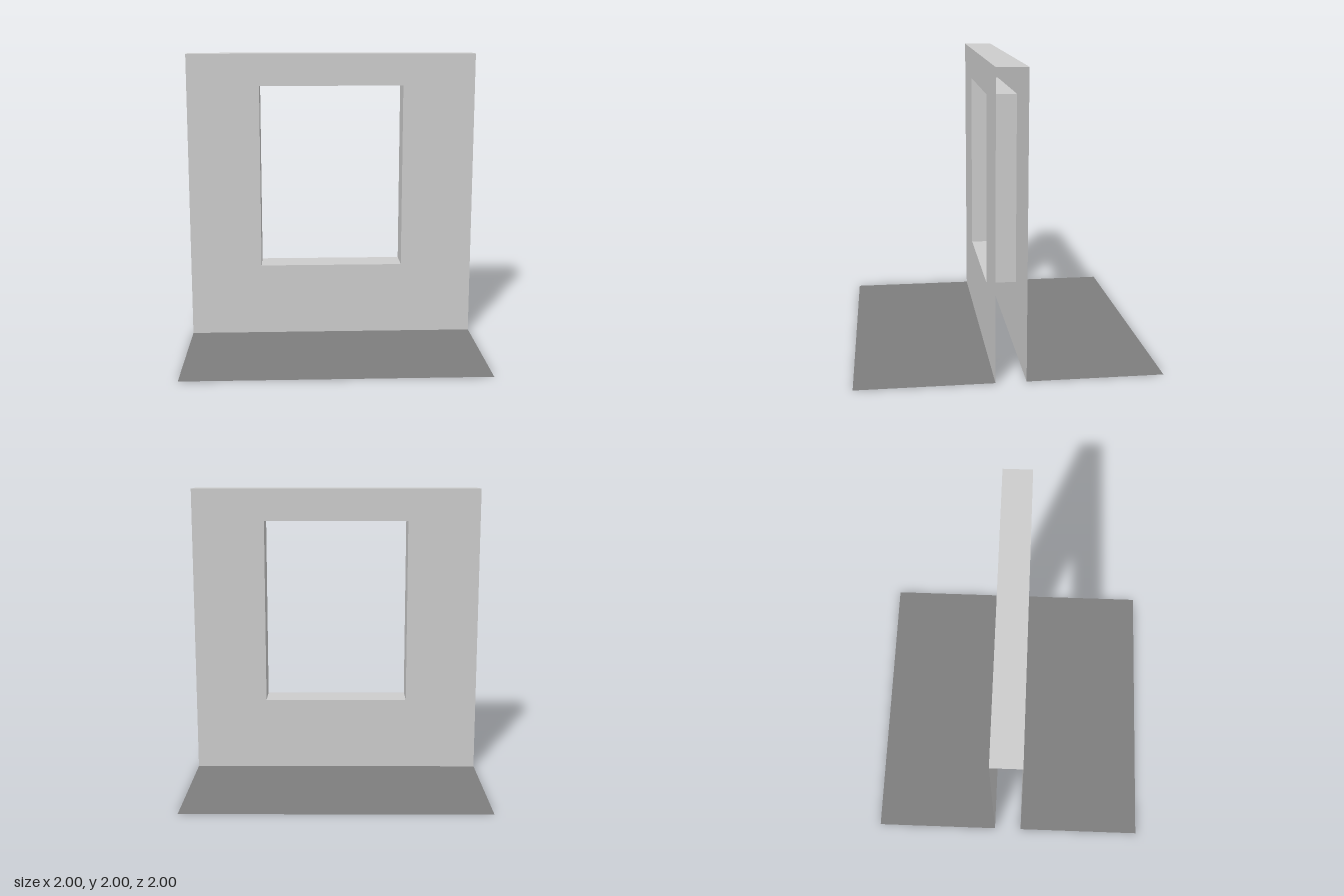
import * as THREE from 'three';

const W = 2, H = 2, T = 0.2;                 // wall width, height, thickness
const WIN = { w: 1, y0: 0.5, y1: 1.78 };     // window opening

export function createModel() {
  const model = new THREE.Group();
  model.name = 'wallWithWindow';

  const wallGrey = new THREE.MeshStandardMaterial({ color: 0xcccccc, side: THREE.DoubleSide });
  wallGrey.name = 'wallGrey';
  const floorGrey = new THREE.MeshStandardMaterial({ color: 0x7d7d7d, side: THREE.DoubleSide });
  floorGrey.name = 'floorGrey';

  const add = (name, geometry, material, position, rotation = [0, 0, 0]) => {
    const mesh = new THREE.Mesh(geometry, material);
    mesh.name = name;
    mesh.position.set(...position);
    mesh.rotation.set(...rotation);
    model.add(mesh);
  };

  // Wall face with a rectangular window hole
  const face = new THREE.Shape();
  face.moveTo(-W / 2, 0).lineTo(W / 2, 0).lineTo(W / 2, H).lineTo(-W / 2, H).closePath();
  const hole = new THREE.Path();
  hole.moveTo(-WIN.w / 2, WIN.y0).lineTo(-WIN.w / 2, WIN.y1)
    .lineTo(WIN.w / 2, WIN.y1).lineTo(WIN.w / 2, WIN.y0).closePath();
  face.holes.push(hole);
  const faceGeometry = new THREE.ShapeGeometry(face);

  // Two faces and two floors; the wall is open at its ends and underside
  const depth = 1 - T / 2;
  const floorGeometry = new THREE.PlaneGeometry(W, depth);
  for (const [side, s] of [['front', 1], ['back', -1]]) {
    add(side + 'WallFace', faceGeometry, wallGrey, [0, 0, s * T / 2], [0, s > 0 ? 0 : Math.PI, 0]);
    add(side + 'Floor', floorGeometry, floorGrey, [0, 0, s * (T / 2 + depth / 2)], [-Math.PI / 2, 0, 0]);
  }

  // Wall cap
  add('wallTop', new THREE.PlaneGeometry(W, T), wallGrey, [0, H, 0], [-Math.PI / 2, 0, 0]);

  // Window lining, facing into the opening
  const lining = new THREE.PlaneGeometry(WIN.w, T);
  add('windowSill', lining, wallGrey, [0, WIN.y0, 0], [-Math.PI / 2, 0, 0]);
  add('windowLintel', lining, wallGrey, [0, WIN.y1, 0], [Math.PI / 2, 0, 0]);
  const jamb = new THREE.PlaneGeometry(T, WIN.y1 - WIN.y0);
  for (const [name, s] of [['leftJamb', 1], ['rightJamb', -1]]) {
    add(name, jamb, wallGrey, [s * WIN.w / 2, (WIN.y0 + WIN.y1) / 2, 0], [0, -s * Math.PI / 2, 0]);
  }

  return model;
}
